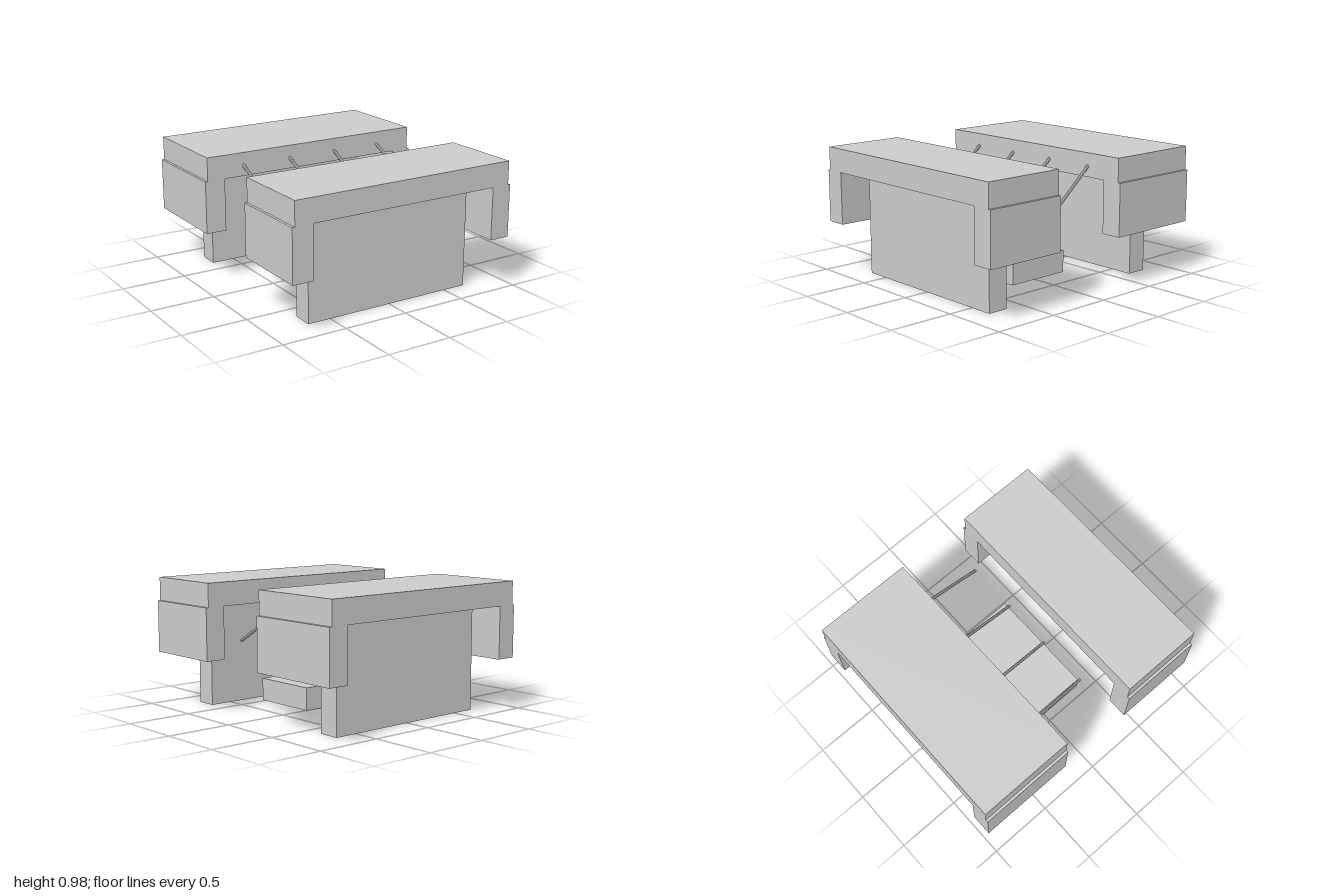
import * as THREE from 'three';

const material = new THREE.MeshStandardMaterial({ color: 0xcccccc, flatShading: true });

// Box given by its [min, max] range on each axis
function box(name, [x0, x1], [y0, y1], [z0, z1]) {
  const mesh = new THREE.Mesh(new THREE.BoxGeometry(x1 - x0, y1 - y0, z1 - z0), material);
  mesh.name = name;
  mesh.position.set((x0 + x1) / 2, (y0 + y1) / 2, (z0 + z1) / 2);
  return mesh;
}

// Thin round rod between two points
function rod(name, from, to, radius) {
  const dir = to.clone().sub(from);
  const mesh = new THREE.Mesh(new THREE.CylinderGeometry(radius, radius, dir.length(), 8), material);
  mesh.name = name;
  mesh.position.copy(from).add(to).multiplyScalar(0.5);
  mesh.quaternion.setFromUnitVectors(new THREE.Vector3(0, 1, 0), dir.normalize());
  return mesh;
}

// Wide top slab with a hanging block at each end and an upright support panel
function bench(name, depth, panelDepth) {
  const group = new THREE.Group();
  group.name = name;
  group.add(
    box('topSlab', [-0.9, 0.9], [0.8, 0.98], depth),
    box('leftSideBlock', [0.76, 0.92], [0.4, 0.8], depth),
    box('rightSideBlock', [-0.92, -0.76], [0.4, 0.8], depth),
    box('supportPanel', [-0.68, 0.68], [0, 0.78], panelDepth)
  );
  return group;
}

export function createModel() {
  const model = new THREE.Group();
  model.name = 'model';

  model.add(bench('frontBench', [0.36, 1], [0.64, 0.8]));
  model.add(bench('backBench', [-1, -0.24], [-0.8, -0.64]));

  // Low block between the benches
  model.add(box('centreBlock', [-0.44, 0.42], [0.05, 0.22], [-0.18, 0.34]));

  // Slanted rods reaching down from the back bench
  for (let i = 0; i < 4; i++) {
    const x = -0.6 + 0.4 * i;
    model.add(rod('slantedRod' + (i + 1),
      new THREE.Vector3(x - 0.005, 0.9, -0.27),
      new THREE.Vector3(x + 0.08, 0.545, 0.26), 0.012));
  }
  return model;
}
